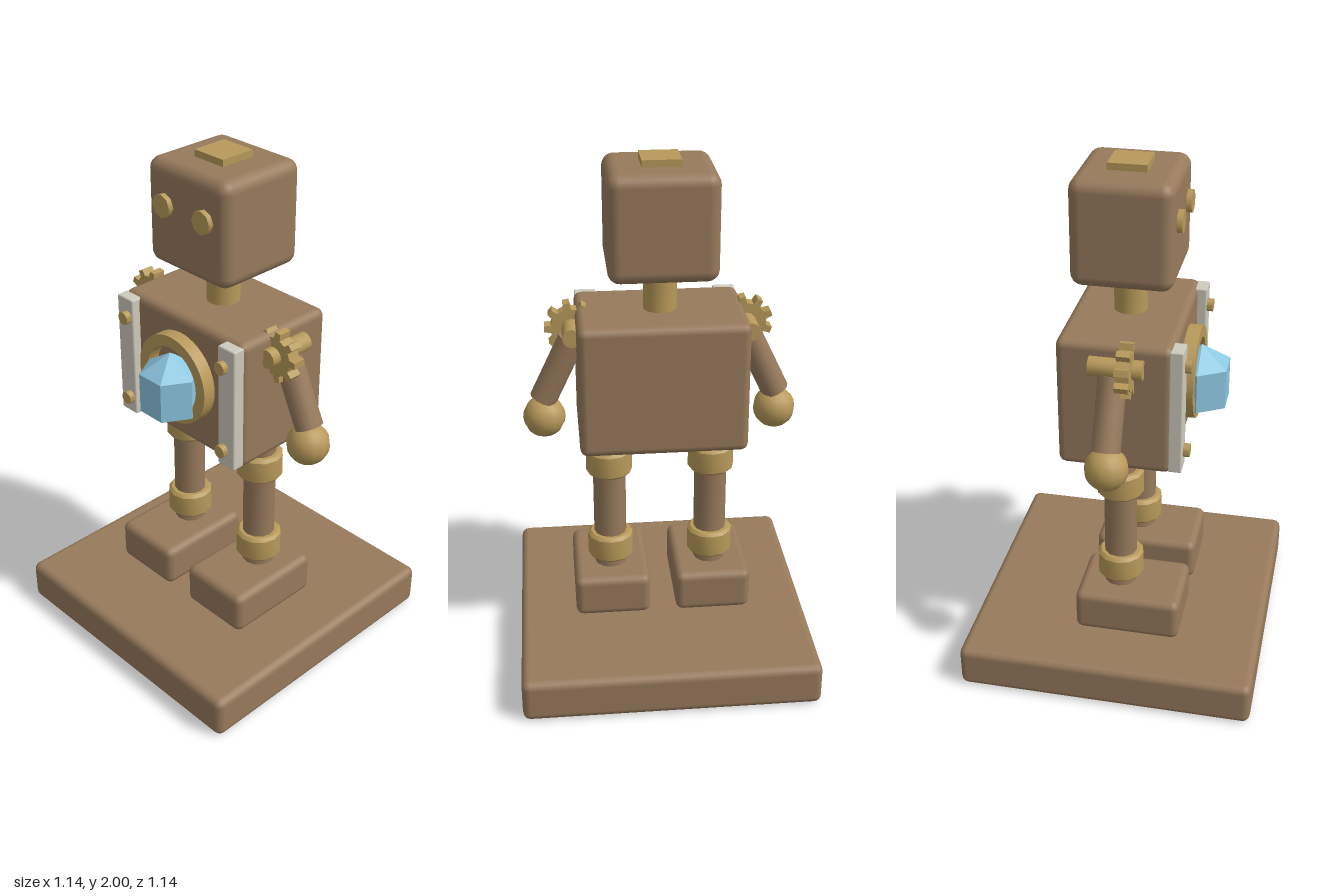
import * as THREE from 'three';
import { RoundedBoxGeometry } from 'three/addons/geometries/RoundedBoxGeometry.js';
import { toCreasedNormals } from 'three/addons/utils/BufferGeometryUtils.js';

const material = (name, color) => {
  const m = new THREE.MeshStandardMaterial({ color });
  m.name = name;
  return m;
};

export function createModel() {
  const model = new THREE.Group();
  model.name = 'robotFigure';
  const brown = material('brown', 0x987a5c);
  const brass = material('brass', 0xb8995a);
  const pale = material('paleTrim', 0xcecabd);
  const blue = material('crystalBlue', 0x8cc6e0);

  const add = (name, geometry, mat, x = 0, y = 0, z = 0) => {
    const mesh = new THREE.Mesh(geometry, mat);
    mesh.name = name;
    mesh.position.set(x, y, z);
    model.add(mesh);
    return mesh;
  };
  const block = (w, h, d, r, segments = 2) => new RoundedBoxGeometry(w, h, d, segments, r);
  const rod = (r, h, sides = 12) => toCreasedNormals(new THREE.CylinderGeometry(r, r, h, sides), 0.8);
  const frontRod = (r, h, sides) => rod(r, h, sides).rotateX(Math.PI / 2);

  // Plinth, body, neck and head
  add('base', block(1.14, 0.17, 1.14, 0.03), brown, 0, 0.087);
  add('torso', block(0.63, 0.51, 0.425, 0.03), brown, 0, 1.175, 0);
  add('neck', rod(0.063, 0.18, 16), brass, 0, 1.5, 0);
  add('head', block(0.4, 0.395, 0.372, 0.045, 3), brown, 0, 1.777, 0);
  add('headPlate', new THREE.BoxGeometry(0.142, 0.04, 0.142), brass, 0, 1.98, 0);

  // Chest ring
  const ringShape = new THREE.Shape().absarc(0, 0, 0.175, 0, Math.PI * 2);
  ringShape.holes.push(new THREE.Path().absarc(0, 0, 0.13, 0, Math.PI * 2, true));
  const ring = new THREE.ExtrudeGeometry(ringShape, { depth: 0.055, bevelEnabled: false, curveSegments: 24 });
  add('chestRing', toCreasedNormals(ring, 0.6), brass, 0, 1.19, 0.208);

  // Six-sided crystal with a pointed top, one flat side facing forward
  const crystalProfile = [[0, 1.075], [0.115, 1.075], [0.115, 1.23], [0, 1.305]]
    .map(([r, y]) => new THREE.Vector2(r, y));
  const crystal = new THREE.LatheGeometry(crystalProfile, 6, Math.PI / 6).toNonIndexed();
  crystal.computeVertexNormals();
  add('crystal', crystal, blue, 0, 0, 0.268);

  // Nine-toothed gear outline
  const gearShape = new THREE.Shape();
  const teeth = 9;
  for (let i = 0; i < teeth; i++) {
    [[-0.27, 0.076], [-0.17, 0.101], [0.17, 0.101], [0.27, 0.076]].forEach(([offset, r], k) => {
      const a = ((i + offset) / teeth) * Math.PI * 2;
      const x = Math.cos(a) * r, y = Math.sin(a) * r;
      if (i + k === 0) gearShape.moveTo(x, y);
      else gearShape.lineTo(x, y);
    });
  }
  gearShape.closePath();
  const gear = new THREE.ExtrudeGeometry(gearShape, { depth: 0.05, bevelEnabled: false });

  // Chamfered joint cuff
  const cuffProfile = [[0.06, -0.055], [0.078, -0.055], [0.09, -0.043], [0.09, 0.043], [0.078, 0.055], [0.06, 0.055]]
    .map(([r, y]) => new THREE.Vector2(r, y));
  const cuff = toCreasedNormals(new THREE.LatheGeometry(cuffProfile, 12), 0.6);

  for (const side of [1, -1]) {
    const part = side > 0 ? 'left' : 'right';
    add(part + 'Eye', frontRod(0.044, 0.06, 8), brass, side * 0.1, 1.82, 0.176);

    // Trim strip and its rivets
    add(part + 'Trim', block(0.083, 0.49, 0.05, 0.006, 1), pale, side * 0.269, 1.175, 0.223);
    for (const y of [1.345, 1.0]) {
      add(part + 'Rivet', frontRod(0.025, 0.05, 10), brass, side * 0.257, y, 0.246);
    }

    // Shoulder
    add(part + 'ShoulderAxle', frontRod(0.036, 0.195, 12), brass, side * 0.33, 1.35, 0.013);
    add(part + 'ShoulderGear', gear, brass, side * 0.33, 1.347, 0.024);

    // Arm and hand
    const top = new THREE.Vector3(side * 0.33, 1.315, 0);
    const wrist = new THREE.Vector3(side * 0.445, 1.075, 0);
    const arm = add(part + 'Arm', rod(0.053, top.distanceTo(wrist)), brown);
    arm.position.lerpVectors(top, wrist, 0.5);
    arm.quaternion.setFromUnitVectors(new THREE.Vector3(0, 1, 0), top.clone().sub(wrist).normalize());
    add(part + 'Hand', new THREE.SphereGeometry(0.081, 12, 10), brass, side * 0.443, 1.003, 0);

    // Leg, cuffs and foot
    add(part + 'Leg', rod(0.064, 0.63), brown, side * 0.2, 0.64, 0);
    for (const y of [0.43, 0.805]) add(part + 'LegCuff', cuff, brass, side * 0.2, y, 0);
    add(part + 'Foot', block(0.297, 0.17, 0.41, 0.03), brown, side * 0.2, 0.259, 0.05);
  }
  return model;
}
